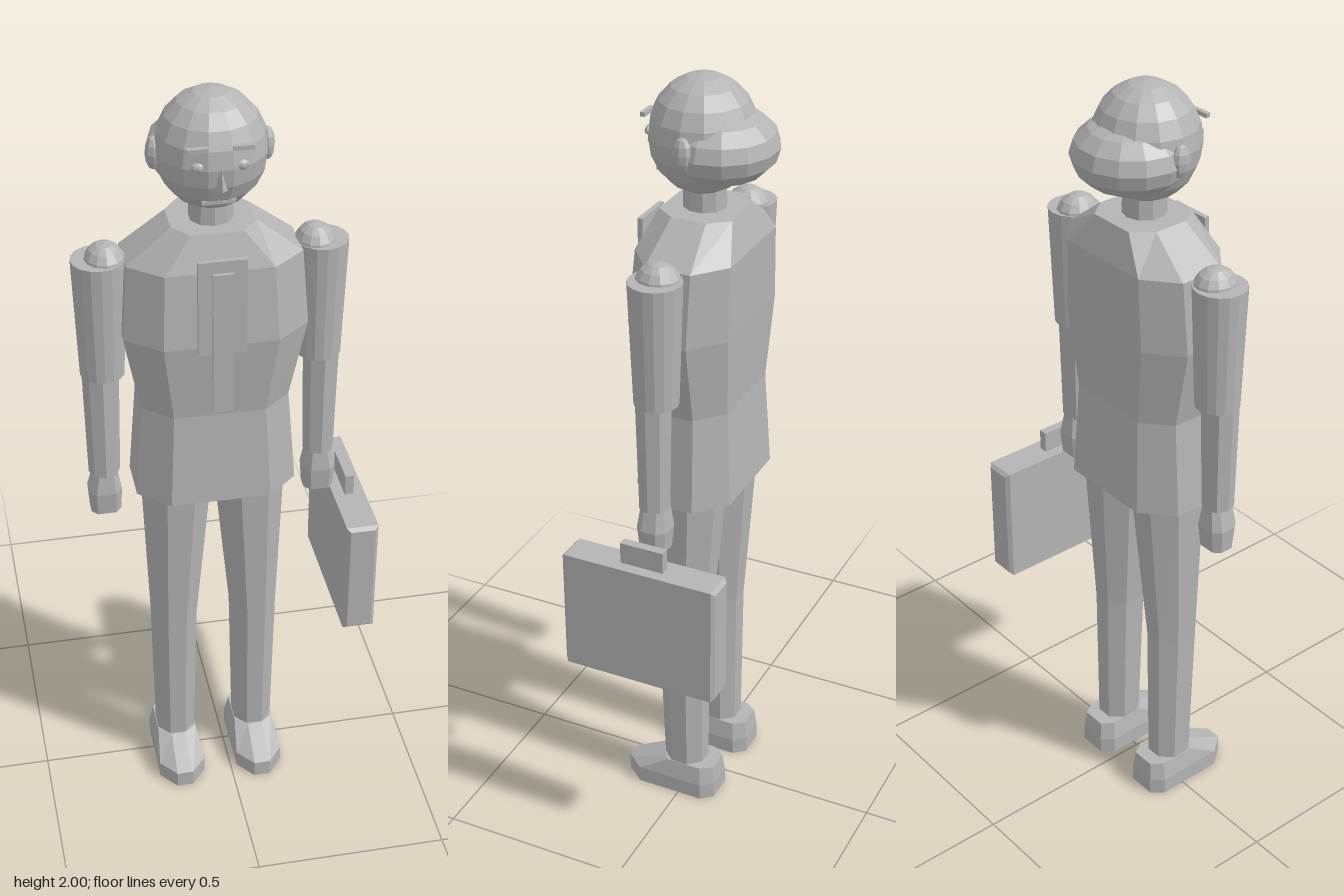
import * as THREE from 'three';

const grey = new THREE.MeshStandardMaterial({ color: 0xb4b4b4, flatShading: true });
grey.name = 'plain grey';

// Skin a stack of closed rings (bottom to top, each running from +x towards +z) with end caps.
function loft(rings) {
  const n = rings[0].length, pos = [], index = [];
  rings.forEach(r => r.forEach(p => pos.push(...p)));
  for (let i = 0; i < rings.length - 1; i++) {
    for (let j = 0; j < n; j++) {
      const a = i * n + j, b = i * n + (j + 1) % n;
      index.push(a, a + n, b, b, a + n, b + n);
    }
  }
  const top = (rings.length - 1) * n;
  for (let j = 1; j < n - 1; j++) {
    index.push(0, j, j + 1, top, top + j + 1, top + j);
  }
  const g = new THREE.BufferGeometry();
  g.setAttribute('position', new THREE.Float32BufferAttribute(pos, 3));
  g.setIndex(index);
  const flat = g.toNonIndexed();
  flat.computeVertexNormals();
  return flat;
}

// Rectangle with cut corners: half width w, front z f, back z b, kx and kz give the flat share of each side.
function octagon(y, w, f, b, kx = 0.62, kz = 0.47, cx = 0) {
  const m = (f + b) / 2, d = (f - b) / 2;
  return [[1, kz], [kx, 1], [-kx, 1], [-1, kz], [-1, -kz], [-kx, -1], [kx, -1], [1, -kz]]
    .map(([x, z]) => [cx + x * w, y, m + z * d]);
}

function add(parent, name, geometry, x = 0, y = 0, z = 0) {
  const m = new THREE.Mesh(geometry, grey);
  m.name = name;
  m.position.set(x, y, z);
  parent.add(m);
  return m;
}

const box = (w, h, d) => new THREE.BoxGeometry(w, h, d);
const ball = (rx, ry, rz, seg = 12, rows = 10) =>
  new THREE.SphereGeometry(1, seg, rows).scale(rx, ry, rz);

function addHead(body) {
  const head = new THREE.Group();
  head.name = 'head';
  body.add(head);
  add(head, 'neck', new THREE.CylinderGeometry(0.052, 0.055, 0.12, 10), 0, 1.69, 0);
  add(head, 'skull', ball(0.134, 0.145, 0.132, 14, 10), 0, 1.855, 0.004);
  add(head, 'hair', ball(0.145, 0.093, 0.143, 14, 8), 0, 1.835, -0.04);
  // Four-sided wedge nose
  add(head, 'nose', loft([
    [[0.019, 1.8, 0.12], [0, 1.81, 0.151], [-0.019, 1.8, 0.12], [0, 1.8, 0.1]],
    [[0.006, 1.862, 0.12], [0, 1.862, 0.133], [-0.006, 1.862, 0.12], [0, 1.862, 0.1]],
  ]));
  add(head, 'mouth', box(0.08, 0.009, 0.02), 0, 1.764, 0.098);
  for (const s of [1, -1]) {
    add(head, 'eye', ball(0.019, 0.013, 0.012, 8, 6), s * 0.049, 1.861, 0.118);
    add(head, 'brow', box(0.05, 0.011, 0.012), s * 0.053, 1.906, 0.124);
    add(head, 'ear', ball(0.019, 0.042, 0.025, 8, 6), s * 0.133, 1.848, -0.004);
  }
}

function addArm(body, s) {
  const arm = new THREE.Group();
  arm.name = s > 0 ? 'leftArm' : 'rightArm';
  body.add(arm);
  add(arm, 'shoulder', ball(0.052, 0.056, 0.058, 12, 8), s * 0.254, 1.574, 0);
  add(arm, 'upperArm', new THREE.CylinderGeometry(0.066, 0.055, 0.317, 16), s * 0.27, 1.431, 0);
  add(arm, 'forearm', new THREE.CylinderGeometry(0.046, 0.04, 0.29, 8), s * 0.276, 1.13, 0.005);
  add(arm, 'hand', loft([
    octagon(0.868, 0.038, 0.036, -0.03, 0.6, 0.5, s * 0.277),
    octagon(0.93, 0.042, 0.042, -0.036, 0.6, 0.5, s * 0.277),
    octagon(0.99, 0.029, 0.035, -0.028, 0.6, 0.5, s * 0.275),
  ]));
}

function addLeg(body, s) {
  const leg = new THREE.Group();
  leg.name = s > 0 ? 'leftLeg' : 'rightLeg';
  body.add(leg);
  add(leg, 'trouserLeg', loft([
    octagon(0.07, 0.05, 0.055, -0.053, 0.42, 0.42, s * 0.108),
    octagon(0.5, 0.058, 0.07, -0.056, 0.42, 0.42, s * 0.107),
    octagon(0.95, 0.086, 0.092, -0.09, 0.42, 0.42, s * 0.094),
  ]));
  // Shoe sole, toe cap and sloping upper
  const outline = (y, w, toe, side, heel) => [
    [w, side], [w * 0.35, toe], [-w * 0.35, toe], [-w, side],
    [-w, heel + 0.03], [-w * 0.6, heel], [w * 0.6, heel], [w, heel + 0.03],
  ].map(([x, z]) => [s * 0.108 + x, y, z]);
  add(leg, 'shoe', loft([
    outline(0, 0.062, 0.166, 0.116, -0.096),
    outline(0.045, 0.062, 0.166, 0.116, -0.096),
    outline(0.095, 0.052, 0.06, 0.035, -0.09),
  ]));
}

function addBriefcase(parent) {
  const briefcase = new THREE.Group();
  briefcase.name = 'briefcase';
  briefcase.position.set(0.322, 0.693, 0);
  parent.add(briefcase);
  // Case with bevelled edges all round
  const e = 0.009, w = 0.041 - e, h = 0.163 - e, d = 0.209 - e;
  const shape = new THREE.Shape([[-w, -h], [w, -h], [w, h], [-w, h]].map(p => new THREE.Vector2(...p)));
  const shell = new THREE.ExtrudeGeometry(shape, {
    depth: d * 2, bevelEnabled: true, bevelThickness: e, bevelSize: e, bevelSegments: 1,
  });
  add(briefcase, 'case', shell.translate(0, 0, -d));
  add(briefcase, 'handle', box(0.023, 0.066, 0.116), 0, 0.187, 0);
}

export function createModel() {
  const model = new THREE.Group();
  model.name = 'standingMan';
  const body = new THREE.Group();
  body.name = 'body';
  body.position.x = -0.029;
  model.add(body);

  // Jacket with flared hem, waist, chest and sloping shoulders
  add(body, 'jacket', loft([
    octagon(0.938, 0.203, 0.13, -0.128),
    octagon(1.19, 0.184, 0.115, -0.115),
    octagon(1.4, 0.225, 0.14, -0.126),
    octagon(1.59, 0.212, 0.122, -0.128),
    octagon(1.675, 0.102, 0.09, -0.1),
  ]));
  add(body, 'shirtFront', box(0.117, 0.25, 0.013), 0, 1.51, 0.145);
  add(body, 'tie', box(0.05, 0.377, 0.009), 0, 1.416, 0.156);

  addHead(body);
  for (const s of [1, -1]) {
    addArm(body, s);
    addLeg(body, s);
  }
  addBriefcase(model);
  return model;
}
